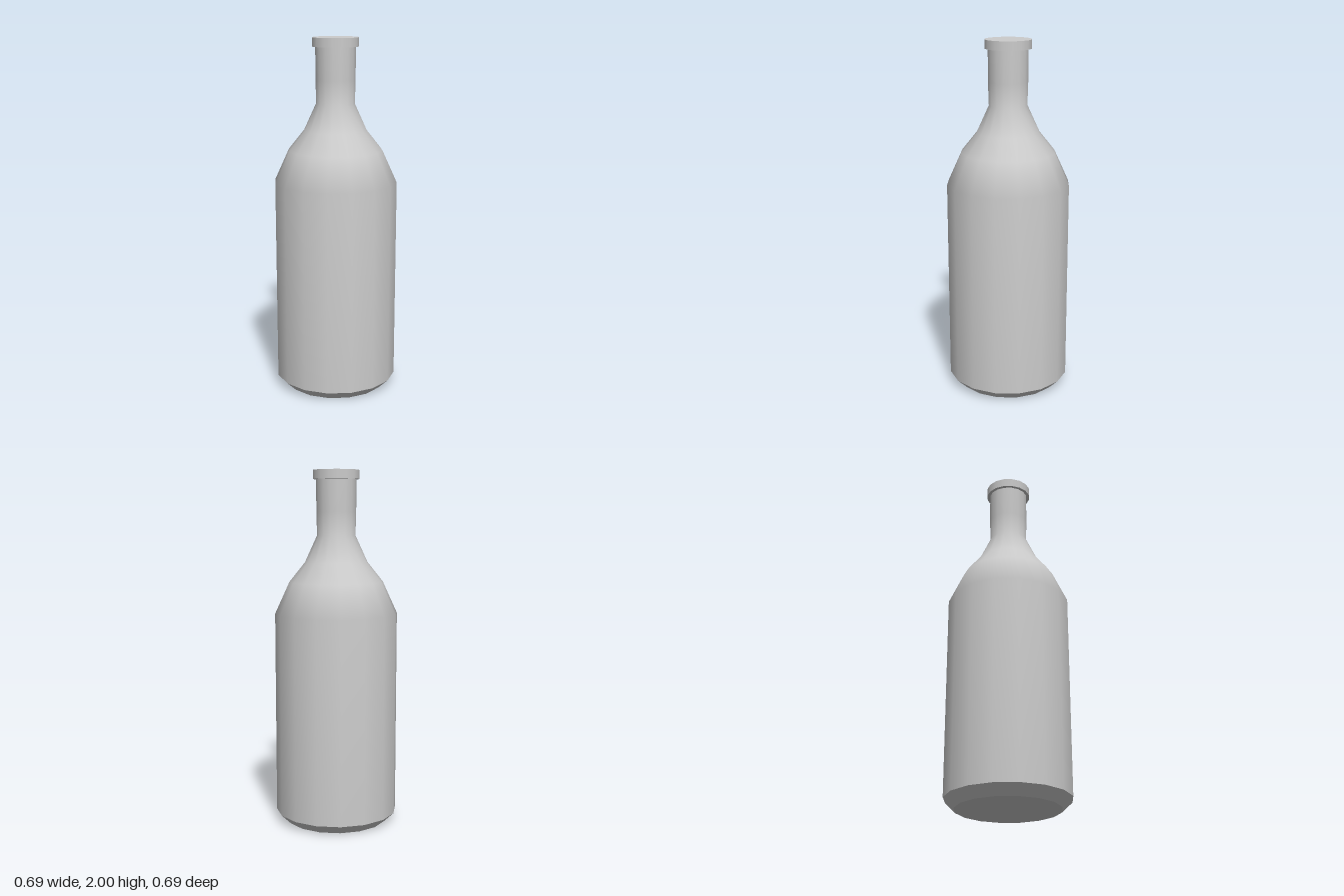
import * as THREE from 'three';

const SIDES = 16;

// Each part is a smooth lathe, so the edges between parts stay sharp.
// Profiles run from bottom to top as [radius, height].
const parts = {
  base: [[0, 0], [0.29, 0]],
  baseBevel: [[0.29, 0], [0.347, 0.055]],
  body: [
    [0.347, 0.055], [0.347, 1.2],                  // straight wall
    [0.265, 1.38], [0.177, 1.49], [0.108, 1.64],   // shoulder
    [0.112, 1.77], [0.112, 1.95],                  // neck
  ],
  lipUnderside: [[0.112, 1.95], [0.13, 1.95]],
  lip: [[0.13, 1.95], [0.13, 2]],
  top: [[0.13, 2], [0, 2]],
};

export function createModel() {
  const bottle = new THREE.Group();
  bottle.name = 'bottle';
  const material = new THREE.MeshStandardMaterial({ color: 0xcccccc });

  for (const [name, profile] of Object.entries(parts)) {
    const points = profile.map(([r, y]) => new THREE.Vector2(r, y));
    const mesh = new THREE.Mesh(new THREE.LatheGeometry(points, SIDES), material);
    mesh.name = name;
    bottle.add(mesh);
  }
  return bottle;
}
